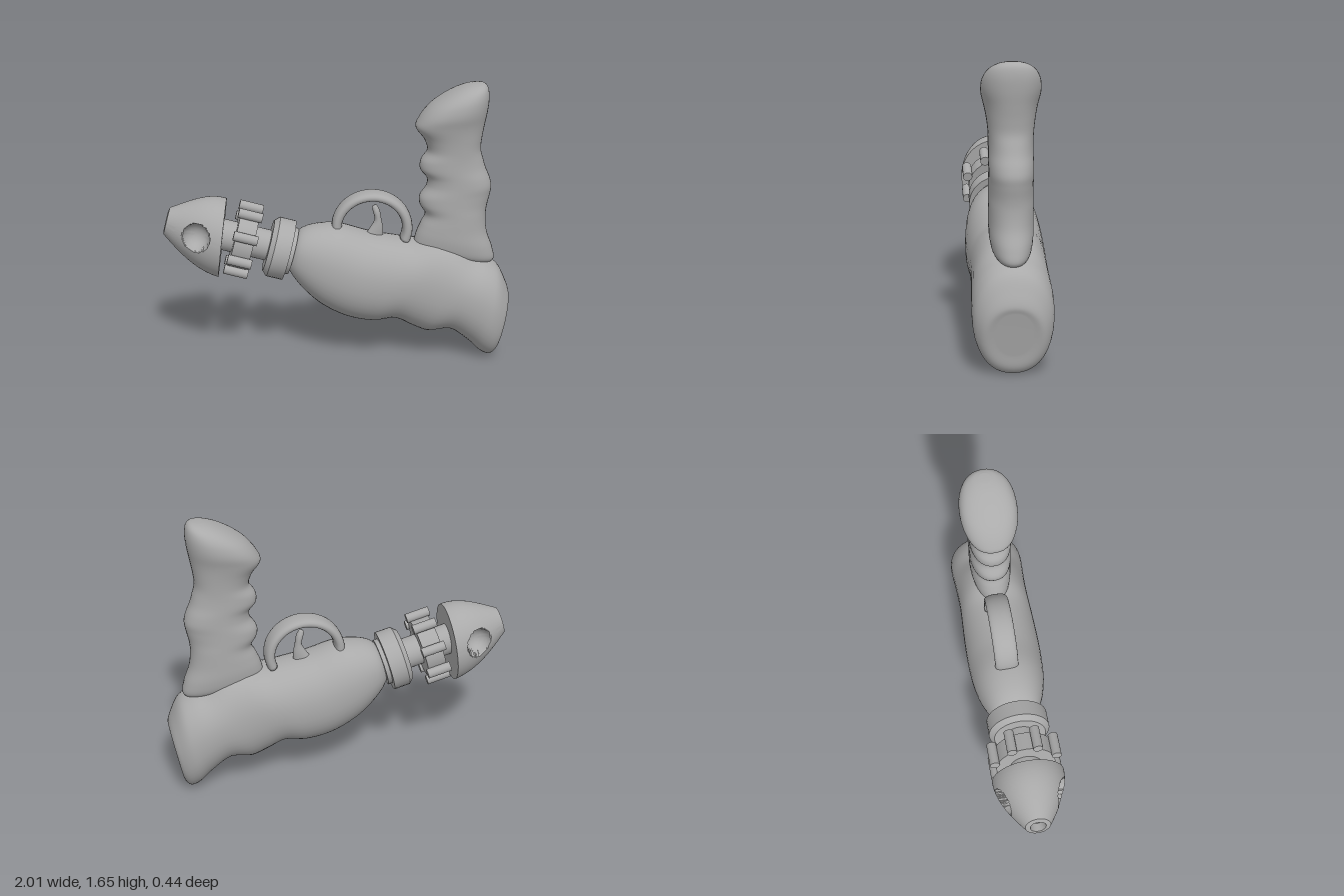
import * as THREE from 'three';
import { toCreasedNormals } from 'three/addons/utils/BufferGeometryUtils.js';

const grey = new THREE.MeshStandardMaterial({ color: 0xaaaaaa });
grey.name = 'grey plastic';

function part(name, geometry, parent) {
  const mesh = new THREE.Mesh(geometry, grey);
  mesh.name = name;
  parent.add(mesh);
  return mesh;
}

// Closed loft through oval sections [x1, y1, x2, y2, halfWidth]:
// the two points are the section's ends in the xy plane, halfWidth is along z.
function loft(sections, rows, cols, power = 1) {
  const curveOf = (f) => new THREE.CatmullRomCurve3(sections.map(f));
  const first = curveOf((s) => new THREE.Vector3(s[0], s[1], s[4]));
  const second = curveOf((s) => new THREE.Vector3(s[2], s[3], s[4]));
  const pos = [], index = [];
  const soft = (v) => Math.sign(v) * Math.abs(v) ** power;
  for (let i = 0; i <= rows; i++) {
    const a = first.getPoint(i / rows), b = second.getPoint(i / rows);
    for (let j = 0; j < cols; j++) {
      const t = (j / cols) * Math.PI * 2;
      const k = (1 + soft(Math.cos(t))) / 2;
      pos.push(b.x + (a.x - b.x) * k, b.y + (a.y - b.y) * k, a.z * soft(Math.sin(t)));
    }
  }
  for (let i = 0; i < rows; i++) {
    for (let j = 0; j < cols; j++) {
      const n = (j + 1) % cols;
      const a = i * cols + j, b = i * cols + n;
      index.push(a, b, a + cols, b, b + cols, a + cols);
    }
  }
  // End caps
  for (const i of [0, rows]) {
    const s = sections[i ? sections.length - 1 : 0];
    const centre = pos.length / 3;
    pos.push((s[0] + s[2]) / 2, (s[1] + s[3]) / 2, 0);
    for (let j = 0; j < cols; j++) {
      const a = i * cols + j, b = i * cols + ((j + 1) % cols);
      if (i) index.push(centre, a, b);
      else index.push(centre, b, a);
    }
  }
  const geo = new THREE.BufferGeometry();
  geo.setAttribute('position', new THREE.Float32BufferAttribute(pos, 3));
  geo.setIndex(index);
  geo.computeVertexNormals();
  return geo;
}

const lathe = (points, segments) =>
  new THREE.LatheGeometry(points.map(([r, y]) => new THREE.Vector2(r, y)), segments);

// Bullet-shaped nose with a bore, a slanted base and a round dimple on each side
function noseGeometry() {
  const points = [[0, 0.335]];
  const steps = 44;
  for (let i = 0; i <= steps; i++) {
    const t = 1 - i / steps;
    points.push([0.08 + 0.15 * Math.sin(t * Math.PI / 2), 0.67 - 0.335 * t]);
  }
  points.push([0.05, 0.675], [0.04, 0.63], [0, 0.61]);
  const geo = lathe(points, 112);
  const p = geo.attributes.position;
  const R = 0.08, cy = 0.49, cz = 0.16;
  for (let i = 0; i < p.count; i++) {
    let x = p.getX(i), y = p.getY(i), z = p.getZ(i) * 0.9;
    const w = THREE.MathUtils.clamp((0.67 - y) / 0.335, 0, 1);
    y += 0.14 * x * w;
    x -= 0.02 * w;
    const inside = R * R - x * x - (y - cy) ** 2;
    if (inside > 0 && Math.abs(z) > cz - Math.sqrt(inside) && y < 0.6) {
      z = Math.sign(z) * (cz - Math.sqrt(inside));
    }
    p.setXYZ(i, x, y, z);
  }
  return toCreasedNormals(geo, 0.6);
}

export function createModel() {
  const model = new THREE.Group();
  model.name = 'toy blaster';

  // Bulging main body, front to rear (top point, bottom point, half width)
  part('body', loft([
    [-0.25, 0.745, -0.29, 0.55, 0.1],
    [-0.21, 0.785, -0.26, 0.5, 0.14],
    [-0.13, 0.81, -0.2, 0.425, 0.175],
    [0, 0.812, -0.1, 0.335, 0.205],
    [0.17, 0.765, 0.05, 0.258, 0.22],
    [0.33, 0.735, 0.2, 0.23, 0.22],
    [0.45, 0.72, 0.33, 0.243, 0.215],
    [0.57, 0.73, 0.43, 0.195, 0.21],
    [0.68, 0.7, 0.52, 0.16, 0.21],
    [0.78, 0.63, 0.65, 0.173, 0.215],
    [0.87, 0.595, 0.76, 0.1, 0.22],
    [0.93, 0.555, 0.84, 0.025, 0.215],
    [0.975, 0.47, 0.89, 0.005, 0.19],
    [0.998, 0.4, 0.925, 0.04, 0.155],
    [0.99, 0.36, 0.94, 0.12, 0.1],
  ], 84, 40, 0.92), model);

  // Finger-grooved grip with a rounded head, bottom to top
  part('grip', loft([
    [0.47, 0.64, 0.86, 0.568, 0.07],
    [0.44, 0.7, 0.905, 0.6, 0.105],
    [0.45, 0.76, 0.895, 0.67, 0.118],
    [0.475, 0.82, 0.86, 0.77, 0.12],
    [0.5, 0.88, 0.85, 0.87, 0.12],
    [0.468, 0.94, 0.855, 0.93, 0.12],
    [0.466, 0.985, 0.87, 1.0, 0.12],
    [0.505, 1.05, 0.877, 1.05, 0.12],
    [0.505, 1.1, 0.865, 1.1, 0.12],
    [0.467, 1.15, 0.84, 1.16, 0.12],
    [0.469, 1.2, 0.825, 1.21, 0.12],
    [0.505, 1.26, 0.81, 1.27, 0.122],
    [0.485, 1.33, 0.815, 1.34, 0.13],
    [0.436, 1.4, 0.828, 1.42, 0.145],
    [0.455, 1.45, 0.842, 1.5, 0.16],
    [0.51, 1.52, 0.848, 1.57, 0.155],
    [0.6, 1.585, 0.842, 1.62, 0.125],
    [0.69, 1.63, 0.825, 1.645, 0.075],
    [0.745, 1.647, 0.8, 1.652, 0.03],
  ], 96, 40, 0.9), model);

  // Arched trigger guard: flattened band swept over a half ring
  const band = [];
  for (let i = 0; i <= 12; i++) {
    const a = Math.PI * (1.02 - (i / 12) * 1.14);
    const c = Math.cos(a), s = Math.sin(a);
    band.push([0.195 + 0.235 * c, 0.79 + 0.222 * s, 0.195 + 0.175 * c, 0.79 + 0.168 * s, 0.068]);
  }
  part('triggerGuard', loft(band, 48, 20, 0.8), model).position.z = -0.01;

  // Curved trigger
  part('trigger', loft([
    [0.15, 0.74, 0.26, 0.74, 0.028],
    [0.185, 0.79, 0.26, 0.79, 0.028],
    [0.21, 0.84, 0.25, 0.84, 0.026],
    [0.2, 0.89, 0.24, 0.895, 0.024],
    [0.195, 0.915, 0.222, 0.93, 0.015],
  ], 20, 14), model).position.z = -0.01;

  // Tilted barrel assembly, its own y axis pointing toward the nose
  const barrel = new THREE.Group();
  barrel.name = 'barrel';
  barrel.position.set(-0.34, 0.67, 0);
  barrel.rotation.z = THREE.MathUtils.degToRad(75);
  model.add(barrel);

  part('collarAndNeck', toCreasedNormals(lathe([
    [0, -0.2], [0.1, -0.2], [0.125, -0.12], [0.125, -0.1], [0.11, -0.1], [0.11, -0.08],
    [0.138, -0.08], [0.138, -0.055], [0.177, -0.055], [0.177, 0.04], [0.15, 0.068],
    [0.09, 0.068], [0.09, 0.36], [0, 0.36],
  ], 32), 0.5), barrel);

  // Knob ringed by eight pegs
  part('knobHub', new THREE.CylinderGeometry(0.17, 0.17, 0.11, 32), barrel).position.y = 0.215;
  for (let i = 0; i < 8; i++) {
    const a = ((i + 0.5) * Math.PI) / 4;
    const peg = part('knobPeg', new THREE.CylinderGeometry(0.028, 0.028, 0.14, 16), barrel);
    peg.position.set(0.192 * Math.cos(a), 0.215, 0.192 * Math.sin(a));
  }

  part('nose', noseGeometry(), barrel);
  return model;
}
